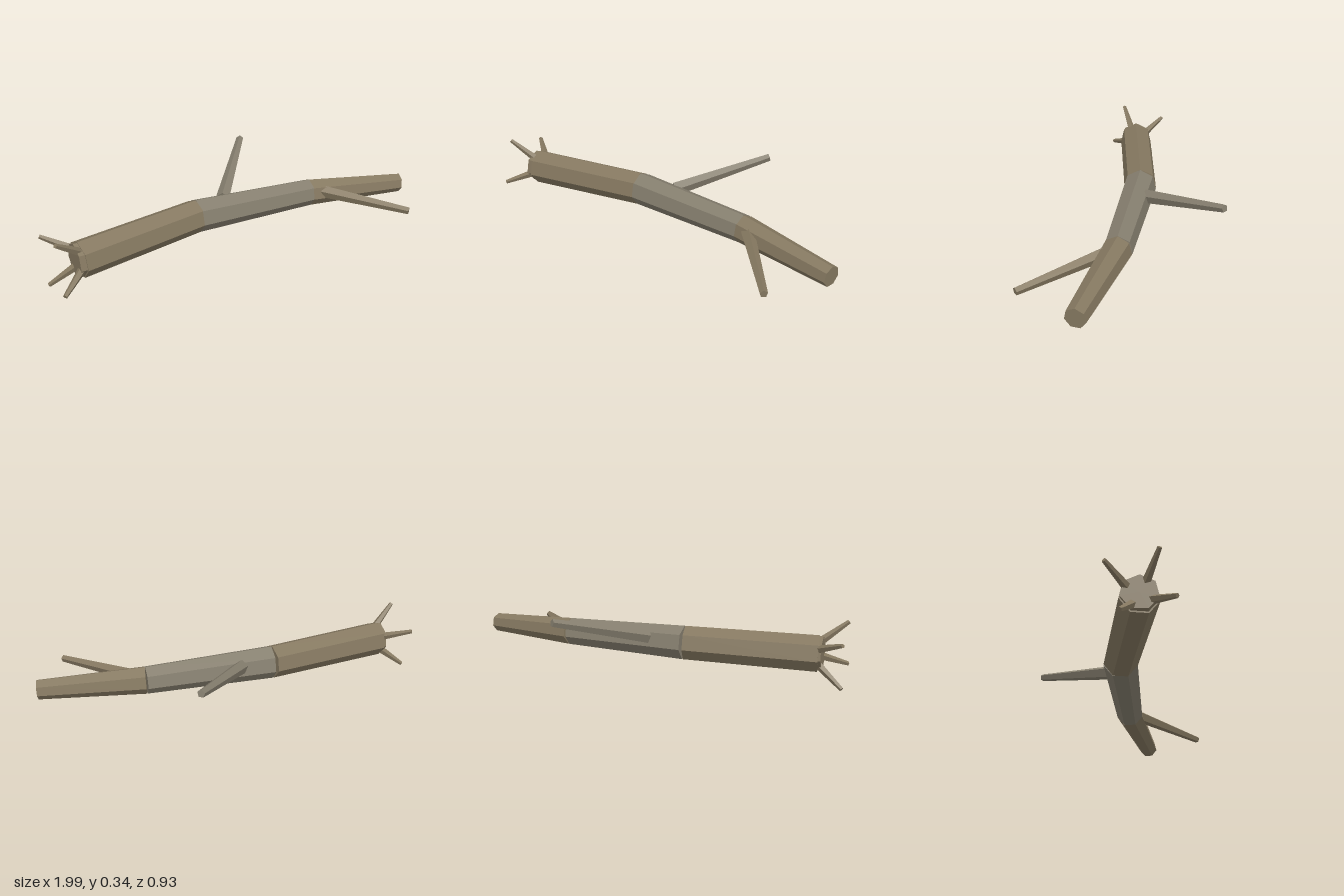
import * as THREE from 'three';

const bark = new THREE.MeshStandardMaterial({ color: 0x857860, flatShading: true });
const paleBark = new THREE.MeshStandardMaterial({ color: 0x857e6e, flatShading: true });

// Tapered faceted limb from a to b, with one corner facing up
function limb(name, a, b, r0, r1, sides, material) {
  const start = new THREE.Vector3(...a);
  const end = new THREE.Vector3(...b);
  const geometry = new THREE.CylinderGeometry(
    r1, r0, start.distanceTo(end), sides, 1, false, Math.PI);
  geometry.rotateX(Math.PI / 2);
  const mesh = new THREE.Mesh(geometry, material);
  mesh.name = name;
  mesh.position.copy(start).lerp(end, 0.5);
  mesh.lookAt(end);
  return mesh;
}

export function createModel() {
  const log = new THREE.Group();
  log.name = 'fallenLog';

  // Trunk: three tapered lengths, each cut square so the bends open on one side
  const joints = [
    { p: [-0.86, 0.149, 0.053], r: 0.092 },
    { p: [-0.2, 0.163, -0.022], r: 0.087 },
    { p: [0.46, 0.153, 0.035], r: 0.072 },
    { p: [0.985, 0.133, 0.161], r: 0.051 },
  ];
  const names = ['trunkBase', 'trunkMiddle', 'trunkTip'];
  names.forEach((name, i) => {
    const a = joints[i], b = joints[i + 1];
    log.add(limb(name, a.p, b.p, a.r, b.r, 7, i === 1 ? paleBark : bark));
  });

  // Broken end plate
  log.add(limb('brokenEnd', [-0.85, 0.151, 0.053], [-0.882, 0.151, 0.053],
    0.086, 0.086, 7, bark));

  // Root splinters flaring from the broken end
  for (let i = 0; i < 4; i++) {
    const angle = 1.06 + i * Math.PI / 2;
    const at = (x, r) => [x, 0.153 + Math.sin(angle) * r, 0.052 + Math.cos(angle) * r];
    log.add(limb('rootSplinter', at(-0.855, 0.05), at(-0.99, 0.17), 0.022, 0.011, 5, bark));
  }

  // Side branches
  log.add(limb('backBranch', [-0.015, 0.19, -0.07], [0.325, 0.318, -0.456],
    0.037, 0.02, 5, paleBark));
  log.add(limb('frontBranch', [0.515, 0.165, 0.085], [0.807, 0.13, 0.45],
    0.034, 0.019, 5, bark));
  return log;
}
